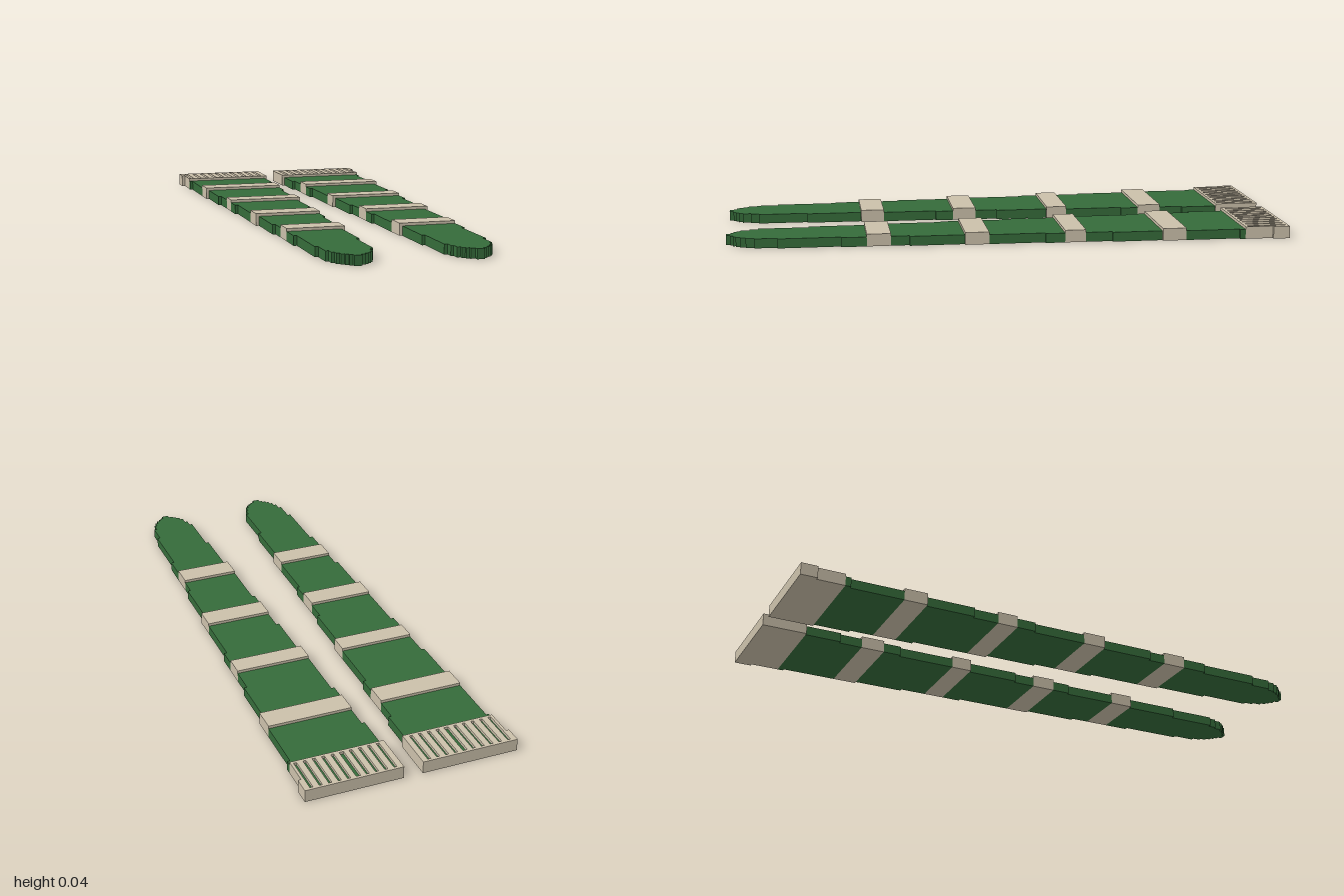
import * as THREE from 'three';

const BODY_TOP = 0.034, BAND_TOP = 0.044;

// Stepped edges of one strip: [distance from the middle line, z where that step ends]
const INNER = [
  [0.034, -0.84], [0.044, -0.71], [0.055, -0.475], [0.066, -0.19], [0.077, 0], [0.088, 0.23],
  [0.098, 0.51], [0.109, 0.71], [0.12, 0.89], [0.131, 0.92], [0.141, 0.95], [0.152, 0.965],
  [0.163, 0.975], [0.174, 0.985], [0.19, 1],
];
const OUTER = [
  [0.378, -0.94], [0.367, -0.82], [0.357, -0.54], [0.347, -0.36], [0.336, -0.12], [0.325, 0.165],
  [0.314, 0.36], [0.303, 0.6], [0.292, 0.82], [0.281, 0.9], [0.27, 0.93], [0.26, 0.95],
  [0.249, 0.965], [0.238, 0.975], [0.227, 0.985], [0.216, 1],
];

// Part of a stepped edge between two z values
function edge(steps, z0, z1) {
  const points = [];
  let start = -1;
  for (const [x, end] of steps) {
    const a = Math.max(start, z0), b = Math.min(end, z1);
    if (b - a > 1e-6) points.push([x, a], [x, b]);
    start = end;
  }
  return points;
}

function sectionShape(side, z0, z1) {
  const outline = [...edge(INNER, z0, z1), ...edge(OUTER, z0, z1).reverse()];
  return new THREE.Shape(outline.map(([x, z]) => new THREE.Vector2(side * x, z)));
}

function rectangle(Type, x0, x1, z0, z1) {
  return new Type([[x0, z0], [x1, z0], [x1, z1], [x0, z1]].map(([x, z]) => new THREE.Vector2(x, z)));
}

// Flat slab lying in the ground plane, from height y0 to y1
function slab(name, shape, y0, y1, material) {
  const geometry = new THREE.ExtrudeGeometry(shape, { depth: y1 - y0, bevelEnabled: false });
  geometry.rotateX(Math.PI / 2);
  geometry.translate(0, y1, 0);
  const mesh = new THREE.Mesh(geometry, material);
  mesh.name = name;
  return mesh;
}

function makeStrip(side, green, beige) {
  const strip = new THREE.Group();
  strip.name = side > 0 ? 'leftStrip' : 'rightStrip';

  // Green body sections with raised bands between them
  const bands = [[-0.625, -0.54], [-0.265, -0.19], [0.08, 0.165], [0.425, 0.51]];
  let start = -0.84;
  for (const [z0, z1] of bands) {
    strip.add(slab('bodySection', sectionShape(side, start, z0), 0, BODY_TOP, green));
    strip.add(slab('band', sectionShape(side, z0, z1), 0, BAND_TOP, beige));
    start = z1;
  }
  strip.add(slab('roundedTip', sectionShape(side, start, 1), 0, BODY_TOP, green));

  // Cuff base, green groove floor and slotted top layer
  const floorY = BODY_TOP - 0.002;
  strip.add(slab('cuffBase', sectionShape(side, -1, -0.84), 0, floorY, beige));
  strip.add(slab('grooveFloor', rectangle(THREE.Shape, side * 0.05, side * 0.36, -0.992, -0.848),
    floorY, BODY_TOP, green));
  const top = sectionShape(side, -1, -0.84);
  for (let i = 0; i < 10; i++) {
    const x = 0.06 + i * 0.0324;
    const half = i === 4 ? 0.008 : 0.0054;
    top.holes.push(rectangle(THREE.Path, side * (x - half), side * (x + half), -0.99, -0.85));
  }
  strip.add(slab('ribbedCuff', top, floorY, BAND_TOP, beige));
  return strip;
}

export function createModel() {
  const green = new THREE.MeshStandardMaterial({ color: 0x356b3a });
  green.name = 'green';
  const beige = new THREE.MeshStandardMaterial({ color: 0xcbc0aa });
  beige.name = 'beige';

  const model = new THREE.Group();
  model.name = 'stripedPair';
  for (const side of [-1, 1]) model.add(makeStrip(side, green, beige));
  return model;
}
